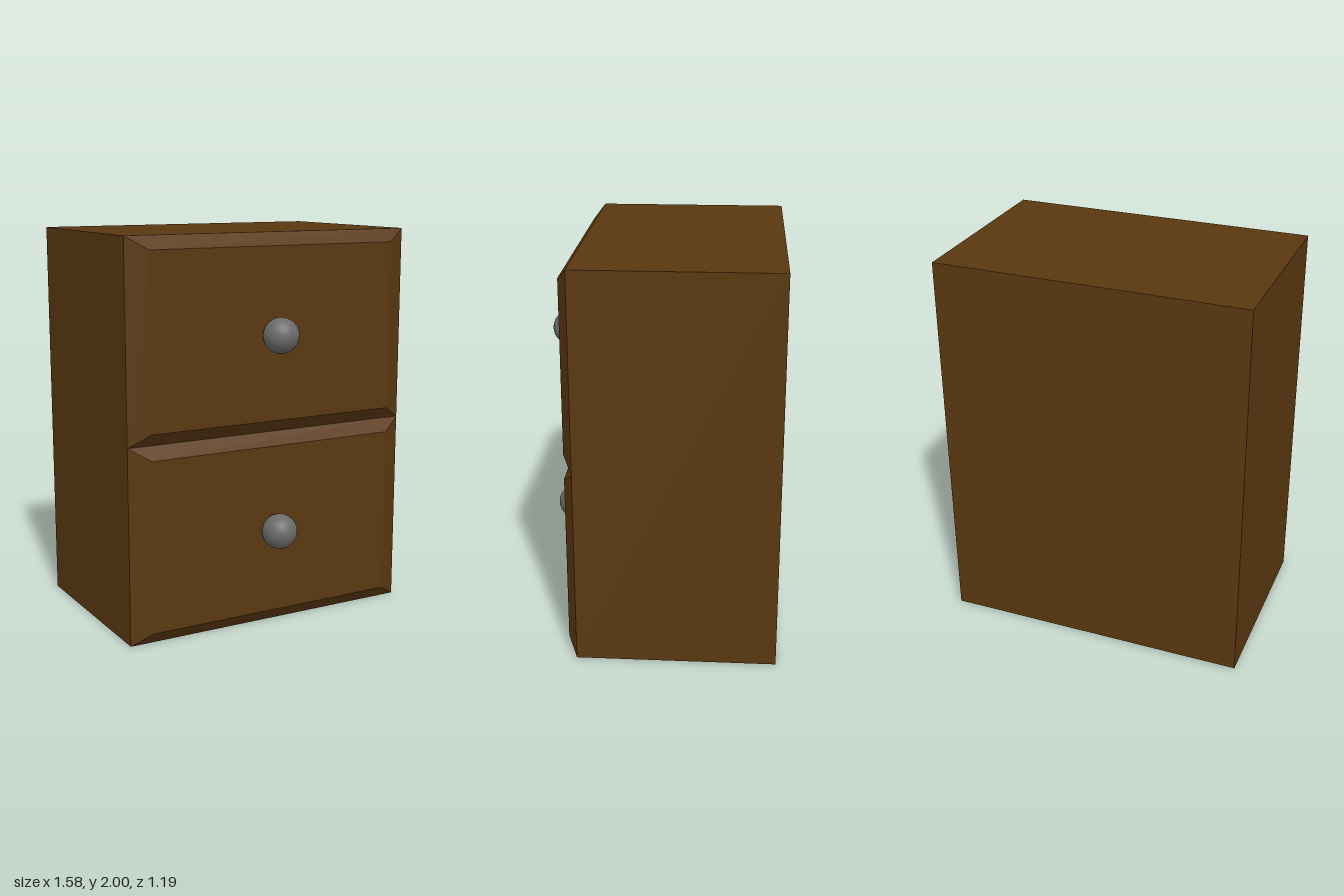
import * as THREE from 'three';

const WIDTH = 1.58, DEPTH = 1, HEIGHT = 2;
const FRONT = 0.405;        // z of the cabinet's front plane
const PANEL = 0.052;        // how far a drawer front stands out
const INSET_X = 0.105, INSET_Y = 0.065;
const KNOB_RADIUS = 0.09;

// Box whose front face is drawn in to leave sloping edges
function bevelledPanel(width, height, depth) {
  const geometry = new THREE.BoxGeometry(width, height, depth).toNonIndexed();
  const p = geometry.attributes.position;
  for (let i = 0; i < p.count; i++) {
    if (p.getZ(i) < 0) continue;
    p.setX(i, p.getX(i) - Math.sign(p.getX(i)) * INSET_X);
    p.setY(i, p.getY(i) - Math.sign(p.getY(i)) * INSET_Y);
  }
  geometry.computeVertexNormals();
  return geometry;
}

export function createModel() {
  const wood = new THREE.MeshStandardMaterial({ color: 0x5a3810 });
  const metal = new THREE.MeshStandardMaterial({ color: 0x6b6b6b });
  const model = new THREE.Group();
  model.name = 'nightstand';

  const add = (parent, name, geometry, material, x, y, z) => {
    const mesh = new THREE.Mesh(geometry, material);
    mesh.name = name;
    mesh.position.set(x, y, z);
    parent.add(mesh);
  };

  // Cabinet body
  add(model, 'cabinet', new THREE.BoxGeometry(WIDTH, HEIGHT, DEPTH), wood,
    0, HEIGHT / 2, FRONT - DEPTH / 2);

  // Two drawers, each with a bevelled front and a round knob
  const panel = bevelledPanel(WIDTH, HEIGHT / 2, PANEL);
  const knob = new THREE.SphereGeometry(KNOB_RADIUS, 32, 16);
  ['lowerDrawer', 'upperDrawer'].forEach((name, i) => {
    const drawer = new THREE.Group();
    drawer.name = name;
    drawer.position.set(0, HEIGHT / 4 + i * HEIGHT / 2, FRONT);
    add(drawer, 'drawerFront', panel, wood, 0, 0, PANEL / 2);
    add(drawer, 'knob', knob, metal, 0, 0, 0.1);
    model.add(drawer);
  });

  return model;
}
